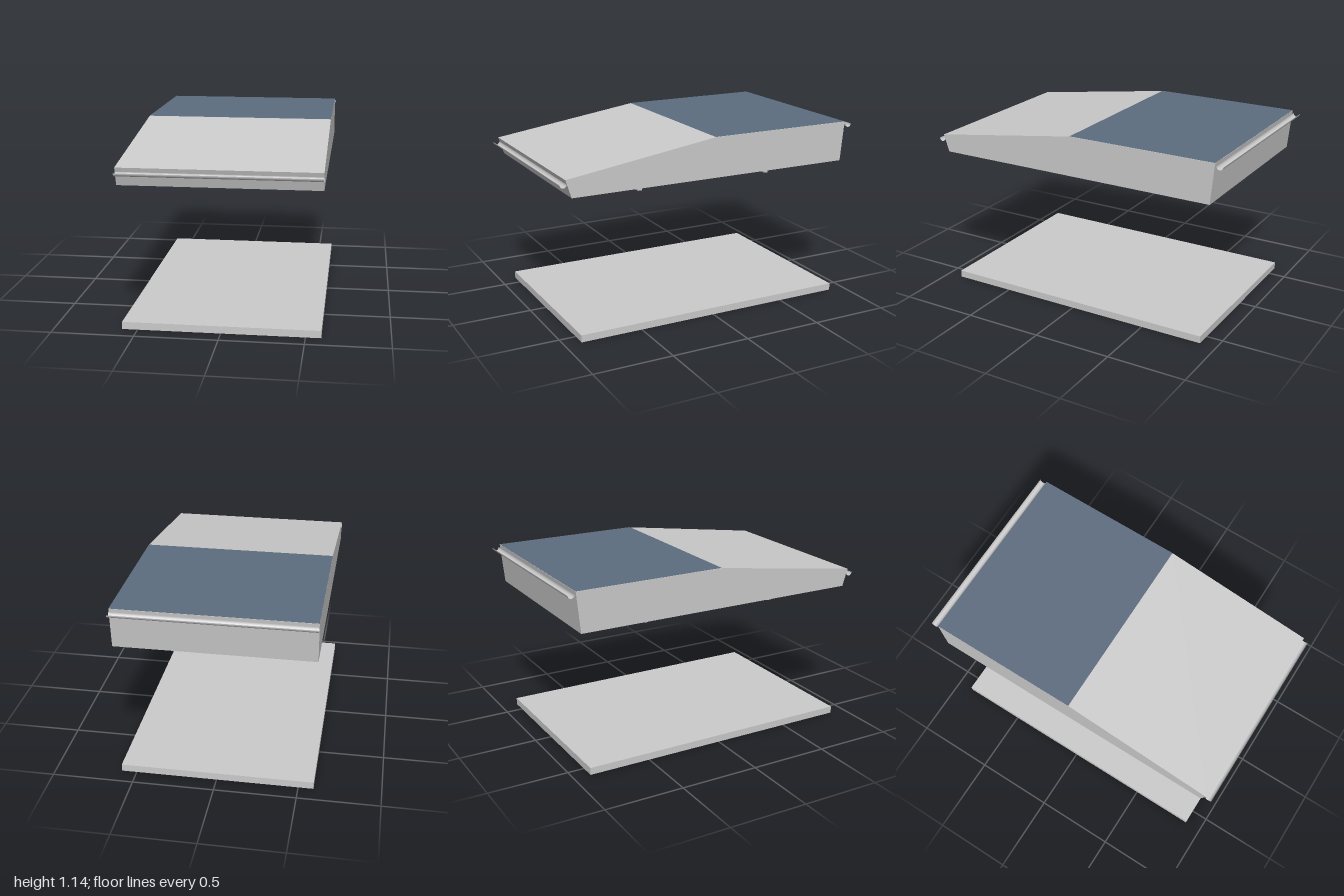
import * as THREE from 'three';

const W = 1.186; // overall width
const grey = new THREE.MeshStandardMaterial({ color: 0xcccccc, flatShading: true });
const sheet = new THREE.MeshStandardMaterial({ color: 0xcccccc, side: THREE.DoubleSide });
const blue = new THREE.MeshStandardMaterial({ color: 0x5d6d80 });
const brown = new THREE.MeshStandardMaterial({ color: 0x948478 });

export function createModel() {
  const model = new THREE.Group();
  const add = (name, geometry, material, x, y, z, parent = model) => {
    const mesh = new THREE.Mesh(geometry, material);
    mesh.name = name;
    mesh.position.set(x, y, z);
    parent.add(mesh);
    return mesh;
  };

  // Floor slab with a brown underside (sixth face group entry is per box side)
  add('floorSlab', new THREE.BoxGeometry(W, 0.045, 1.79), [grey, grey, grey, brown, grey, grey], 0, 0.0225, 0);

  // Roof body: side profile (z, y) extruded across the width
  const profile = new THREE.Shape([
    [0.93, 0.89], [0.965, 1.0], [0, 1.141], [-0.95, 1.141], [-0.925, 0.89],
  ].map(([z, y]) => new THREE.Vector2(-z, y)));
  const roof = new THREE.ExtrudeGeometry(profile, { depth: W, bevelEnabled: false });
  roof.translate(0, 0, -W / 2).rotateY(Math.PI / 2);
  add('roofBody', roof, grey, 0, 0, 0);

  // Coloured covering on the flat half of the roof
  const cover = new THREE.PlaneGeometry(W, 0.95).rotateX(-Math.PI / 2);
  add('flatRoofCover', cover, blue, 0, 1.1425, -0.475);

  // Open half-round gutters along both eaves
  const trough = new THREE.CylinderGeometry(0.021, 0.021, W, 12, 1, true, 0, Math.PI);
  trough.rotateZ(Math.PI / 2).rotateX(0);
  trough.computeBoundingBox();
  // Turn the half pipe so that its opening faces up
  if (trough.boundingBox.max.y > 0.01) trough.rotateX(Math.PI);
  add('frontGutter', trough, sheet, 0, 0.974, 0.979);
  add('backGutter', trough, sheet, 0, 1.125, -0.979);

  // Four hanging lamps, each on two thin rods
  for (const x of [-0.296, 0.296]) {
    for (const z of [-0.445, 0.445]) {
      const lamp = new THREE.Group();
      lamp.name = 'hangingLamp';
      lamp.position.set(x, 0, z);
      model.add(lamp);
      add('lampBar', new THREE.BoxGeometry(0.342, 0.016, 0.026), grey, 0, 0.846, 0, lamp);
      for (const s of [-1, 1]) {
        add('lampRod', new THREE.CylinderGeometry(0.0025, 0.0025, 0.042, 8), grey, s * 0.148, 0.872, 0, lamp);
      }
    }
  }
  return model;
}
